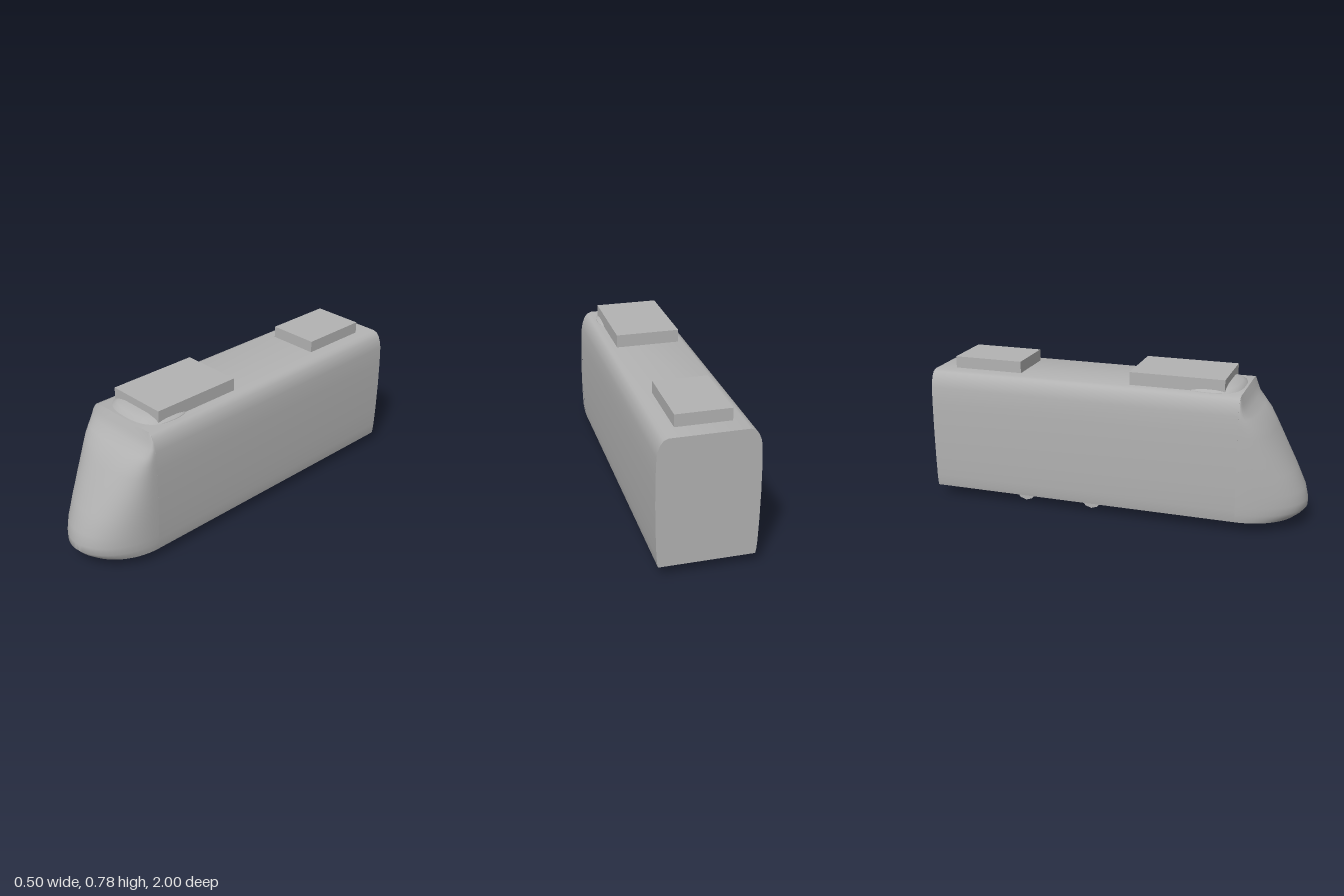
import * as THREE from 'three';
import { toCreasedNormals } from 'three/addons/utils/BufferGeometryUtils.js';

// Skin over stacked superellipse rows [y, halfWidth, depth, exponent], swept through an arc
function loft(rows, z0, arc, segs, crease) {
  const pos = [], index = [], n = segs + 1;
  for (const [y, hw, depth, e] of rows) {
    for (let i = 0; i <= segs; i++) {
      const a = (arc * i) / segs, c = Math.cos(a), s = Math.sin(a);
      pos.push(
        hw * Math.sign(c) * Math.abs(c) ** (2 / e), y,
        z0 + depth * Math.sign(s) * Math.abs(s) ** (2 / e));
    }
  }
  for (let j = 0; j < rows.length - 1; j++) {
    for (let i = 0; i < segs; i++) {
      const p = j * n + i;
      index.push(p, p + n, p + 1, p + 1, p + n, p + n + 1);
    }
  }
  const g = new THREE.BufferGeometry();
  g.setAttribute('position', new THREE.Float32BufferAttribute(pos, 3));
  g.setIndex(index);
  return toCreasedNormals(g, crease);
}

export function createModel() {
  const model = new THREE.Group();
  model.name = 'trainCar';
  const grey = new THREE.MeshStandardMaterial({ color: 0xb2b2b2 });
  grey.name = 'plainGrey';

  const add = (name, geometry, x = 0, y = 0, z = 0) => {
    const mesh = new THREE.Mesh(geometry, grey);
    mesh.name = name;
    mesh.position.set(x, y, z);
    model.add(mesh);
    return mesh;
  };

  // Body: half section mirrored and extruded along z
  const half = [
    [0.235, 0.055], [0.239, 0.075], [0.243, 0.12], [0.247, 0.24], [0.249, 0.38],
    [0.248, 0.52], [0.244, 0.62], [0.238, 0.652], [0.226, 0.682], [0.211, 0.701], [0.188, 0.71],
  ];
  const outline = [...half, ...half.map(([x, y]) => [-x, y]).reverse()];
  const section = new THREE.Shape(outline.map(([x, y]) => new THREE.Vector2(x, y)));
  const bodyGeo = new THREE.ExtrudeGeometry(section, { depth: 1.667, bevelEnabled: false });
  add('body', toCreasedNormals(bodyGeo, 0.7), 0, 0, -1);

  // Nose: sloping rounded front, closed underneath
  add('nose', loft([
    [0.055, 0, 0, 2],
    [0.055, 0.235, 0.285, 2],
    [0.075, 0.239, 0.312, 2],
    [0.1, 0.242, 0.333, 2],
    [0.14, 0.244, 0.333, 2],
    [0.2, 0.246, 0.318, 2.05],
    [0.3, 0.248, 0.27, 2.15],
    [0.4, 0.249, 0.214, 2.3],
    [0.5, 0.248, 0.157, 2.45],
    [0.56, 0.247, 0.118, 2.6],
    [0.6, 0.245, 0.078, 2.7],
    [0.635, 0.241, 0.038, 2.8],
    [0.67, 0.231, 0.018, 3],
    [0.7, 0.211, 0.005, 3],
    [0.71, 0.188, 0, 3],
  ], 0.667, Math.PI, 32, 0.7));

  // Low fairing under the front roof unit
  add('roofFairing', loft([
    [0.7, 0.192, 0.16, 2.6],
    [0.713, 0.187, 0.153, 2.6],
    [0.727, 0.16, 0.132, 2.6],
    [0.737, 0.125, 0.095, 2.6],
    [0.739, 0, 0, 2.6],
  ], 0.5, Math.PI * 2, 36, 0.7));

  // Roof units
  add('frontRoofUnit', new THREE.BoxGeometry(0.334, 0.072, 0.495), 0, 0.741, 0.333);
  add('rearRoofUnit', new THREE.BoxGeometry(0.274, 0.067, 0.375), 0, 0.7385, -0.7125);

  // Wheels, half hidden in the floor
  for (const x of [-0.157, 0.157]) {
    for (const z of [-0.127, -0.505]) {
      const wheel = new THREE.CylinderGeometry(0.057, 0.057, 0.021, 10);
      wheel.rotateZ(Math.PI / 2);
      wheel.rotateX(Math.PI / 10);
      add('wheel', toCreasedNormals(wheel, 0.7), x, 0.0555, z);
    }
  }
  // Lowest wheel points rest exactly on the ground
  const low = new THREE.Box3().setFromObject(model, true).min.y;
  model.children.forEach((m) => { if (m.name === 'wheel') m.position.y -= low; });
  return model;
}
